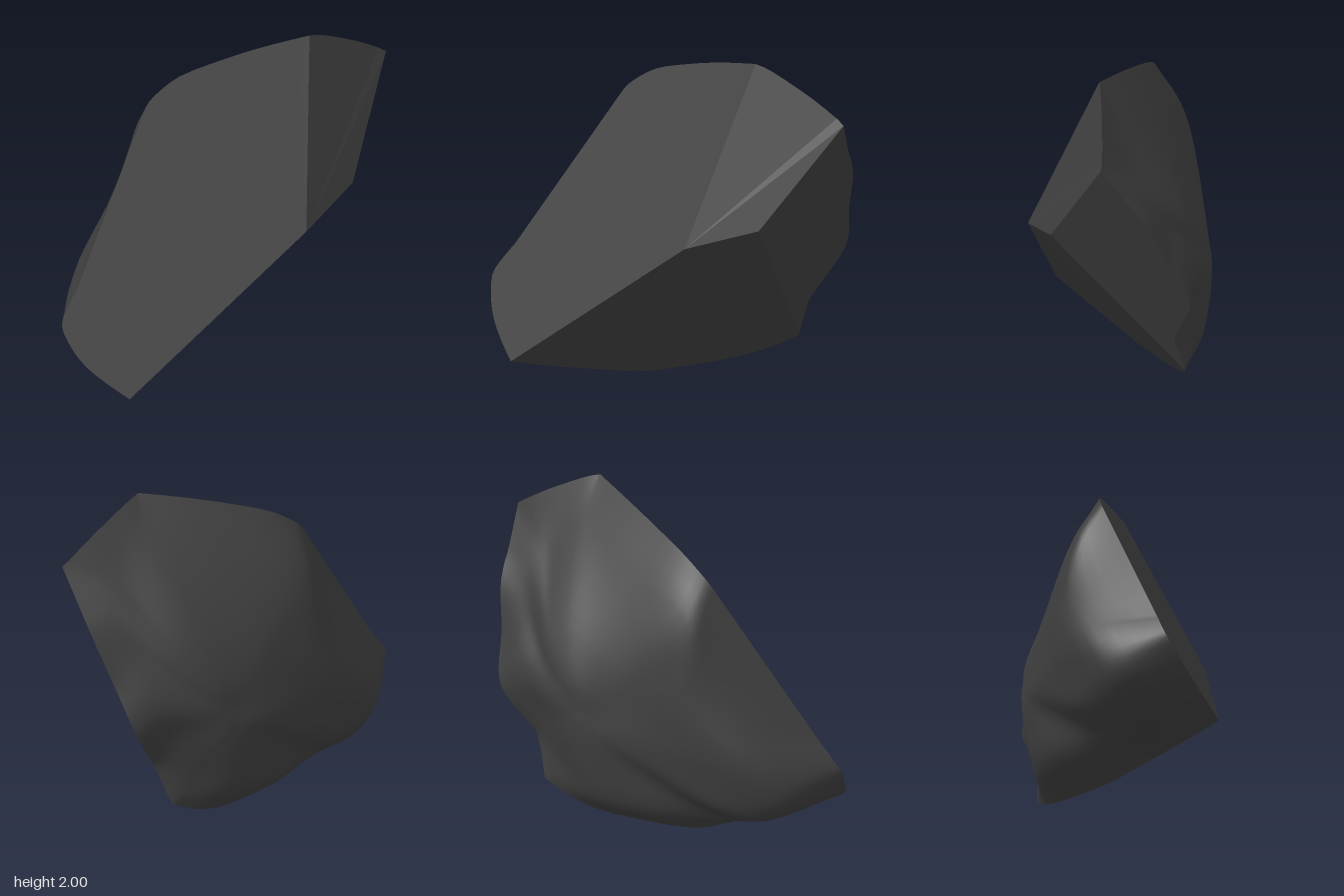
import * as THREE from 'three';

const V = (x, y, z) => new THREE.Vector3(x, y, z);

// inner corners where the flat cuts meet
const C = V(0.46, 0.98, 0.35);
const D = V(0.74, 1.09, 0.03);

// planes of the four flat cuts
const onFront = ({ x, y }) => V(x, y, 0.838 - 0.018 * x - 0.49 * y);
const onRight = ({ x, y }) => V(x, y, 0.35 - 0.965 * (x - 0.46) - 0.452 * (y - 0.98));
const onUnder = ({ x, y }) => V(x, y, 0.35 - 1.7146 * (x - 0.46) + 1.5905 * (y - 0.98));
const onSide = ({ x: z, y }) => V(0.95 + 0.417 * (y - 1.68) + 0.078 * (z + 0.43), y, z);

// curved stretch of rim lying in one cut, without its last point
const STEPS = 3;
function stretch(plane, keys) {
  const curve = new THREE.SplineCurve(keys.map((k) => new THREE.Vector2(...k)));
  return curve.getPoints((keys.length - 1) * STEPS).slice(0, -1).map(plane);
}

// closed rim between the flat cuts and the weathered back
const topRight = stretch(onRight, [[0.5, 2], [0.58, 1.96], [0.78, 1.82], [0.95, 1.68]]);
const side = stretch(onSide, [[-0.43, 1.68], [-0.55, 1.47], [-0.61, 1.38], [-0.66, 1.27],
  [-0.71, 1.05], [-0.78, 0.86], [-0.77, 0.73], [-0.66, 0.55], [-0.61, 0.45], [-0.62, 0.23]]);
const under = stretch(onUnder, [[0.33, 0.23], [0.24, 0.17], [0.13, 0.11], [0, 0.06], [-0.25, 0],
  [-0.36, 0.03], [-0.5, 0.09], [-0.57, 0.14]]);
const front = [
  ...stretch(onFront, [[-0.57, 0.14], [-0.7, 0.225], [-0.82, 0.32], [-0.9, 0.42], [-0.95, 0.53],
    [-0.92, 0.62], [-0.86, 0.72]]),
  ...stretch(onFront, [[-0.86, 0.72], [-0.655, 1.185], [-0.45, 1.65]]),
  ...stretch(onFront, [[-0.45, 1.65], [-0.4, 1.71], [-0.25, 1.81], [0, 1.89], [0.24, 1.95], [0.5, 2]]),
];
const rim = [...topRight, ...side, ...under, ...front];

// ring of the back surface, evenly spread along the rim
const shoulder = new THREE.CatmullRomCurve3([
  [0.42, 1.72, -0.31], [0.62, 1.6, -0.42], [0.63, 1.42, -0.54], [0.55, 1.22, -0.62],
  [0.42, 0.9, -0.73], [0.32, 0.62, -0.64], [0.2, 0.36, -0.58], [0, 0.25, -0.52],
  [-0.26, 0.2, -0.31], [-0.55, 0.17, 0.09], [-0.74, 0.25, 0.13], [-0.86, 0.39, 0.18],
  [-0.82, 0.62, 0.07], [-0.57, 1.03, -0.14], [-0.42, 1.49, -0.15], [0, 1.6, -0.26],
].map((p) => V(...p)), true);
const middle = V(-0.05, 0.8, -0.555);
const slopeAt = (p) => middle.z - 0.6 * (p.x - middle.x) + 0.13 * (p.y - middle.y);

// flat cut as a fan from one corner
function cutFace(name, apex, edge, material) {
  const pts = [];
  for (let i = 0; i + 1 < edge.length; i++) pts.push(apex, edge[i + 1], edge[i]);
  const geo = new THREE.BufferGeometry().setFromPoints(pts);
  geo.computeVertexNormals();
  const mesh = new THREE.Mesh(geo, material);
  mesh.name = name;
  return mesh;
}

// smooth back lofted from the rim, over the shoulder, to the middle
function weatheredBack(material) {
  const cols = rim.length, rows = 20;
  const pts = [], index = [];
  rim.forEach((p, i) => {
    const r = shoulder.getPoint(i / cols);
    // ribs ease into one sloping plane at the middle
    const s = r.clone().lerp(middle, 0.5);
    s.z = (s.z + slopeAt(s)) / 2;
    const t = r.clone().lerp(middle, 0.8);
    t.z = slopeAt(t);
    const rib = new THREE.CatmullRomCurve3([p, r, s, t, middle]);
    for (let j = 0; j < rows; j++) pts.push(rib.getPoint(j / rows));
  });
  const last = pts.push(middle) - 1;
  for (let i = 0; i < cols; i++) {
    const a = i * rows, b = ((i + 1) % cols) * rows;
    for (let j = 0; j + 1 < rows; j++) {
      index.push(a + j, b + j, a + j + 1, b + j, b + j + 1, a + j + 1);
    }
    index.push(a + rows - 1, b + rows - 1, last);
  }
  const geo = new THREE.BufferGeometry().setFromPoints(pts);
  geo.setIndex(index);
  geo.computeVertexNormals();
  const mesh = new THREE.Mesh(geo, material);
  mesh.name = 'weatheredBack';
  return mesh;
}

export function createModel() {
  const group = new THREE.Group();
  group.name = 'rockFragment';
  const stone = new THREE.MeshStandardMaterial({ color: 0x3e3e3e });
  group.add(
    cutFace('frontCut', C, [...front, topRight[0]], stone),
    cutFace('rightCut', C, [...topRight, side[0], D], stone),
    cutFace('sideCut', D, [...side, under[0]], stone),
    cutFace('underCut', C, [D, ...under, front[0]], stone),
    weatheredBack(stone),
  );
  return group;
}
